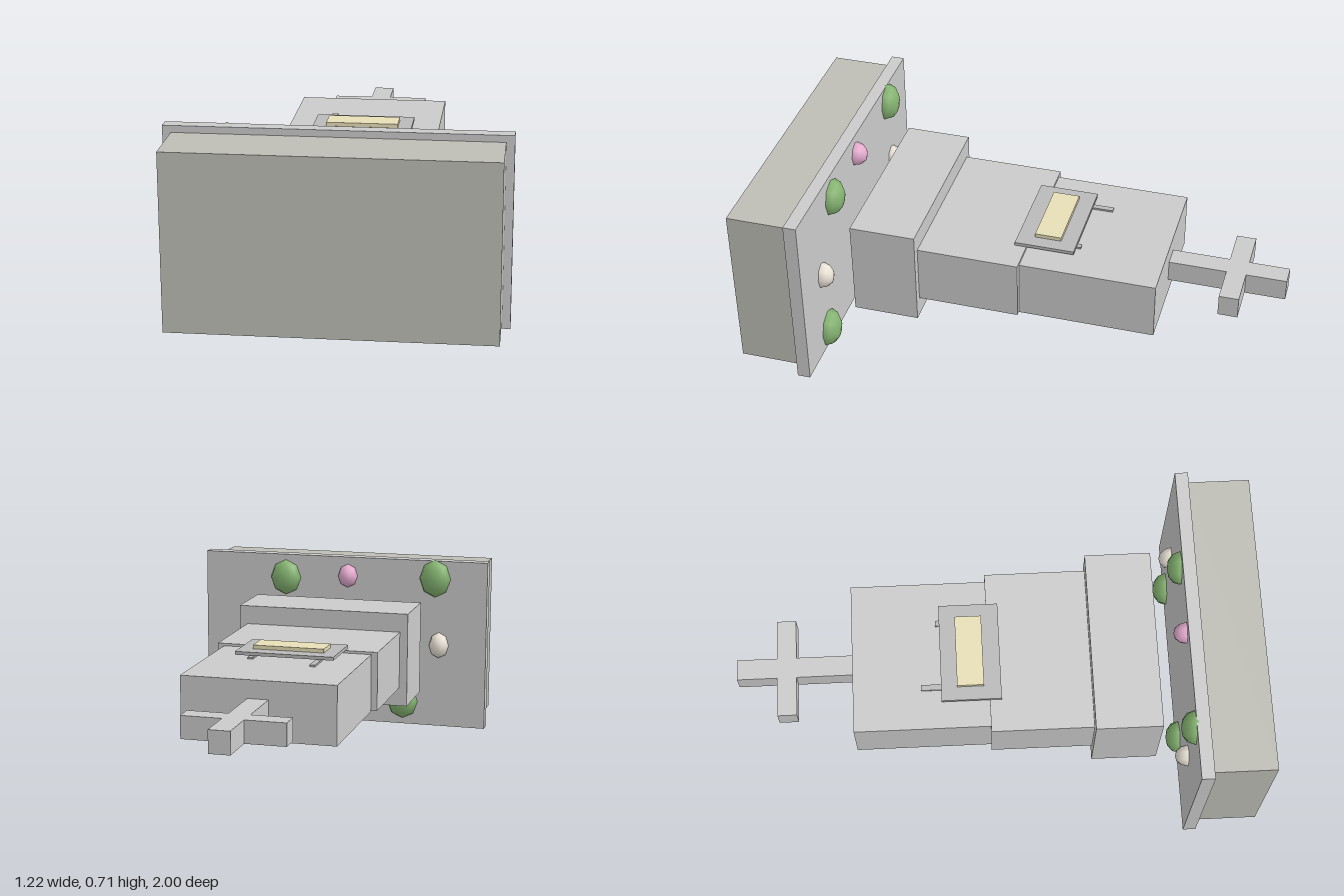
import * as THREE from 'three';

const mat = (color, flatShading = false) => new THREE.MeshStandardMaterial({ color, flatShading });
const stone = mat(0xcccccc);
const earth = mat(0xbebeb6);
const frameStone = mat(0xbababa);
const cream = mat(0xe8dfb8);
const green = mat(0x86b572);
const pink = mat(0xe6acd0);
const white = mat(0xece4d8);

// Box given by its half width in x and its limits in y and z
function slab(name, x0, x1, y0, y1, z0, z1, material = stone) {
  const mesh = new THREE.Mesh(new THREE.BoxGeometry(x1 - x0, y1 - y0, z1 - z0), material);
  mesh.position.set((x0 + x1) / 2, (y0 + y1) / 2, (z0 + z1) / 2);
  mesh.name = name;
  return mesh;
}

// Low-poly squashed ball, half sunk into the kerb, its pole pointing along -z
function blob(name, x, y, rx, ry, rz, material) {
  const geo = new THREE.SphereGeometry(1, 8, 6).rotateX(-Math.PI / 2);
  const mesh = new THREE.Mesh(geo, material);
  mesh.scale.set(rx, ry, rz);
  mesh.position.set(x, y, 0.715);
  mesh.name = name;
  return mesh;
}

export function createModel() {
  const group = new THREE.Group();
  group.name = 'memorial';

  // Plinth and kerb
  group.add(slab('plinth', -0.58, 0.58, 0.04, 0.69, 0.765, 1, earth));
  group.add(slab('kerb', -0.61, 0.61, 0.008, 0.715, 0.715, 0.765));

  // Stepped headstone
  group.add(slab('lowerStep', -0.352, 0.352, 0.175, 0.555, 0.36, 0.613));
  group.add(slab('middleStep', -0.32, 0.32, 0.25, 0.48, -0.03, 0.36));
  group.add(slab('upperStone', -0.295, 0.295, 0.245, 0.47, -0.55, 0.1));

  // Cross
  const a = 0.04, b = 0.193;
  const outline = [[-a, 0.55], [a, 0.55], [a, 0.77], [b, 0.77], [b, 0.845], [a, 0.845],
    [a, 1], [-a, 1], [-a, 0.845], [-b, 0.845], [-b, 0.77], [-a, 0.77]];
  const shape = new THREE.Shape(outline.map(([x, y]) => new THREE.Vector2(x, y)));
  const crossGeo = new THREE.ExtrudeGeometry(shape, { depth: 0.085, bevelEnabled: false });
  const cross = new THREE.Mesh(crossGeo.rotateX(-Math.PI / 2), stone);
  cross.position.y = 0.315;
  cross.name = 'cross';
  group.add(cross);

  // Plaque with its frame and two small pegs
  group.add(slab('plaqueFrame', -0.193, 0.193, 0.48, 0.493, -0.213, 0.015, frameStone));
  group.add(slab('plaque', -0.14, 0.14, 0.49, 0.508, -0.152, -0.05, cream));
  group.add(slab('longPeg', -0.143, -0.121, 0.46, 0.477, -0.29, -0.17, frameStone));
  group.add(slab('shortPeg', 0.117, 0.139, 0.46, 0.477, -0.228, -0.17, frameStone));

  // Bushes and flowers around the headstone
  for (const s of [-1, 1]) {
    group.add(blob('outerBush', 0.39 * s, 0.362 - 0.278 * s, 0.066, 0.079, 0.05, green));
    group.add(blob('innerBush', 0.257 * s, 0.362 + 0.255 * s, 0.066, 0.075, 0.05, green));
    group.add(blob('whiteFlower', 0.41 * s, 0.357, 0.042, 0.055, 0.048, white));
  }
  group.add(blob('pinkFlower', -0.015, 0.635, 0.042, 0.05, 0.048, pink));

  return group;
}
